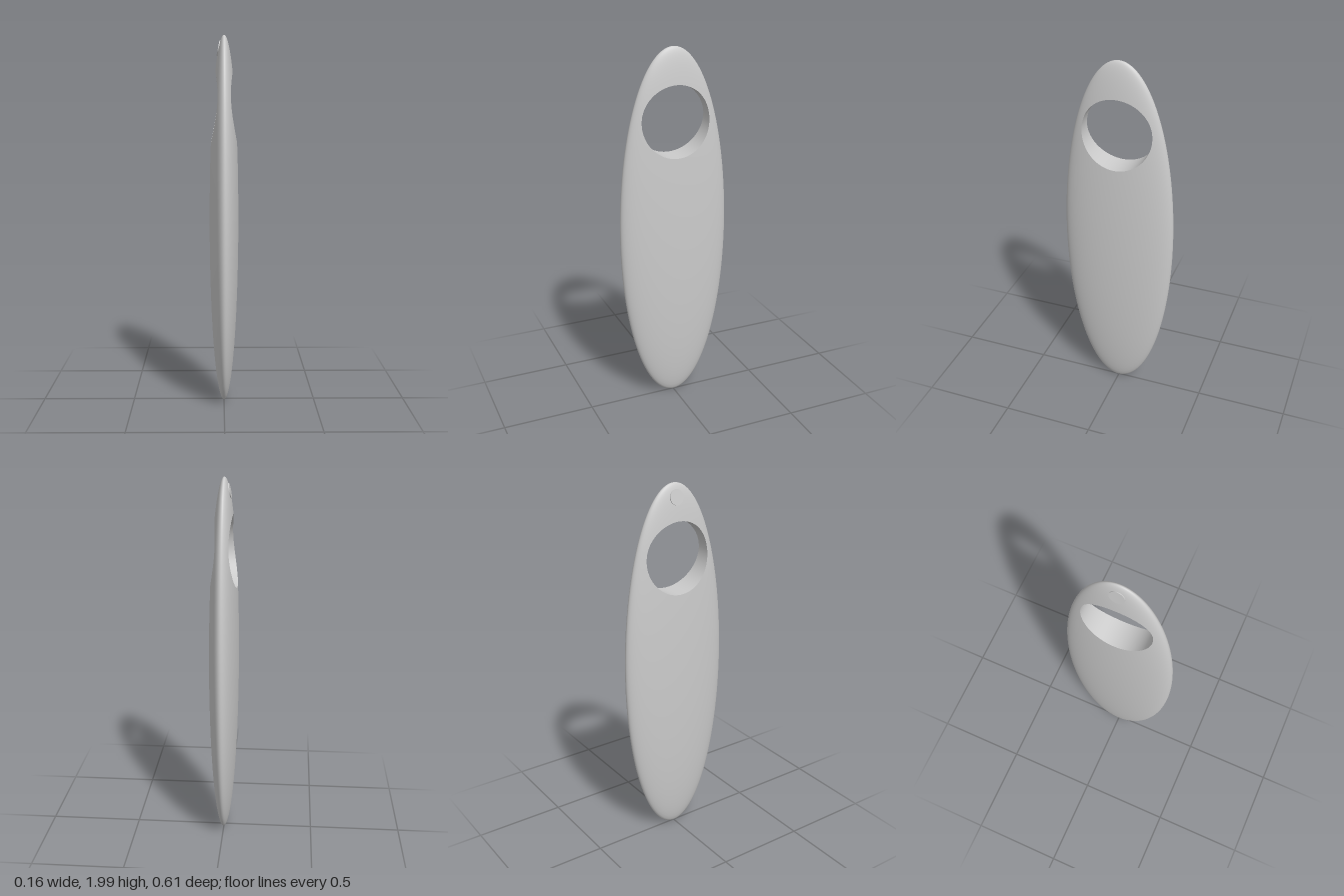
import * as THREE from 'three';

const A = 0.078, B = 0.997, C = 0.306;   // ellipsoid half sizes in x, y, z
const MID = 1.003;                       // ellipsoid centre height
const HOLE_Y = 1.62, HOLE_R = 0.19;      // round opening through x
const AROUND = 128;

// Half thickness of the ellipsoid at a given height and depth
const halfWidth = (y, z) =>
  A * Math.sqrt(Math.max(0, 1 - ((y - MID) / B) ** 2 - (z / C) ** 2));

// Matching points on the outer outline and on the rim of the opening
function outlineAndRim(u) {
  const phi = u * Math.PI * 2;
  const oy = MID + B * Math.cos(phi), oz = C * Math.sin(phi);
  const ang = Math.atan2(oz, oy - HOLE_Y);
  return { oy, oz, ry: HOLE_Y + HOLE_R * Math.cos(ang), rz: HOLE_R * Math.sin(ang) };
}

// Grid surface from a rule giving position and normal
function gridSurface(rows, rule) {
  const pos = [], nor = [], idx = [];
  for (let i = 0; i <= AROUND; i++) {
    for (let j = 0; j <= rows; j++) {
      const [p, n] = rule(i / AROUND, j / rows);
      pos.push(...p.toArray());
      nor.push(...n.normalize().toArray());
      if (i < AROUND && j < rows) {
        const a = i * (rows + 1) + j, c = a + rows + 1;
        idx.push(a, a + 1, c, a + 1, c + 1, c);
      }
    }
  }
  const g = new THREE.BufferGeometry();
  g.setAttribute('position', new THREE.Float32BufferAttribute(pos, 3));
  g.setAttribute('normal', new THREE.Float32BufferAttribute(nor, 3));
  g.setIndex(idx);
  return g;
}

export function createModel() {
  const group = new THREE.Group();
  const material = new THREE.MeshStandardMaterial({ color: 0xcccccc });
  const add = (name, geometry) => {
    const mesh = new THREE.Mesh(geometry, material);
    mesh.name = name;
    group.add(mesh);
    return mesh;
  };

  // Flattened ellipsoid shell, running from one rim over the edge to the other
  add('body', gridSurface(40, (u, v) => {
    const { oy, oz, ry, rz } = outlineAndRim(u);
    const f = Math.sin(v * Math.PI);
    const y = ry + (oy - ry) * f, z = rz + (oz - rz) * f;
    const side = v === 0.5 ? 0 : Math.sign(0.5 - v);
    const x = side * halfWidth(y, z);
    return [new THREE.Vector3(x, y, z),
      new THREE.Vector3(x / A ** 2, (y - MID) / B ** 2, z / C ** 2)];
  }));

  // Straight inner wall of the opening
  add('openingWall', gridSurface(2, (u, v) => {
    const { ry, rz } = outlineAndRim(u);
    return [new THREE.Vector3((2 * v - 1) * halfWidth(ry, rz), ry, rz),
      new THREE.Vector3(0, HOLE_Y - ry, -rz)];
  }));

  // Small round button near the top of the -x face
  const by = 1.93, bx = -halfWidth(by, 0);
  const normal = new THREE.Vector3(bx / A ** 2, (by - MID) / B ** 2, 0).normalize();
  const button = add('button', new THREE.CylinderGeometry(0.04, 0.04, 0.012, 32));
  button.quaternion.setFromUnitVectors(new THREE.Vector3(0, 1, 0), normal);
  button.position.set(bx, by, 0).addScaledVector(normal, -0.003);

  return group;
}
